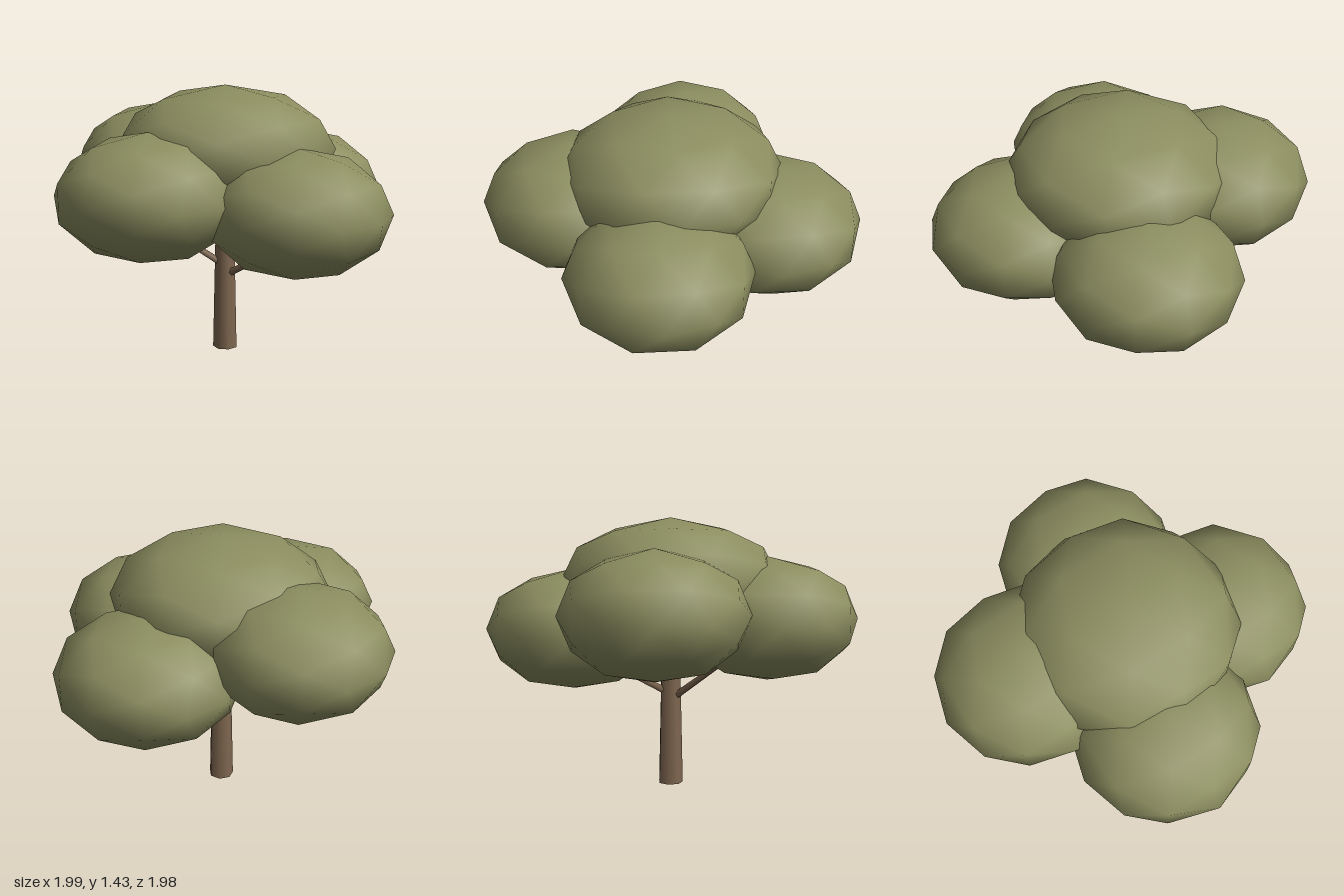
import * as THREE from 'three';

const foliage = new THREE.MeshStandardMaterial({ color: 0x8c8e60 });
foliage.name = 'olive foliage';
const bark = new THREE.MeshStandardMaterial({ color: 0x7f6750 });
bark.name = 'brown bark';

export function createModel() {
  const tree = new THREE.Group();
  tree.name = 'tree';

  const add = (name, geometry, material) => {
    const mesh = new THREE.Mesh(geometry, material);
    mesh.name = name;
    tree.add(mesh);
    return mesh;
  };

  // Tapered seven-sided trunk, ending inside the crown
  const trunkHeight = 0.95;
  add('trunk', new THREE.CylinderGeometry(0.046, 0.067, trunkHeight, 7), bark)
    .position.y = trunkHeight / 2;

  // Three branches spread evenly around the trunk: start height, compass angle, slope
  const reach = 0.4;
  const up = new THREE.Vector3(0, 1, 0);
  [[0.405, 10, 0.55], [0.455, 130, 0.7], [0.49, 250, 0.55]].forEach(([y, degrees, slope], i) => {
    const a = THREE.MathUtils.degToRad(degrees);
    const span = new THREE.Vector3(Math.cos(a), slope, Math.sin(a)).multiplyScalar(reach);
    const branch = add(`branch${i + 1}`, new THREE.CylinderGeometry(0.014, 0.02, span.length(), 5), bark);
    branch.position.set(0, y, 0).addScaledVector(span, 0.5);
    branch.quaternion.setFromUnitVectors(up, span.clone().normalize());
  });

  // Flattened, smooth-shaded leaf clumps: centre, then radii
  const clumps = {
    topClump: [[0, 1.1, 0], [0.58, 0.33, 0.58]],
    leftClump: [[0.515, 0.832, 0.095], [0.478, 0.325, 0.475]],
    rightClump: [[-0.52, 0.97, -0.1], [0.478, 0.325, 0.475]],
    frontClump: [[-0.097, 0.904, 0.507], [0.482, 0.325, 0.478]],
    backClump: [[0.093, 0.832, -0.515], [0.482, 0.325, 0.475]],
  };
  for (const [name, [centre, radii]] of Object.entries(clumps)) {
    const clump = add(name, new THREE.IcosahedronGeometry(1, 1), foliage);
    clump.position.set(...centre);
    clump.scale.set(...radii);
  }

  return tree;
}
